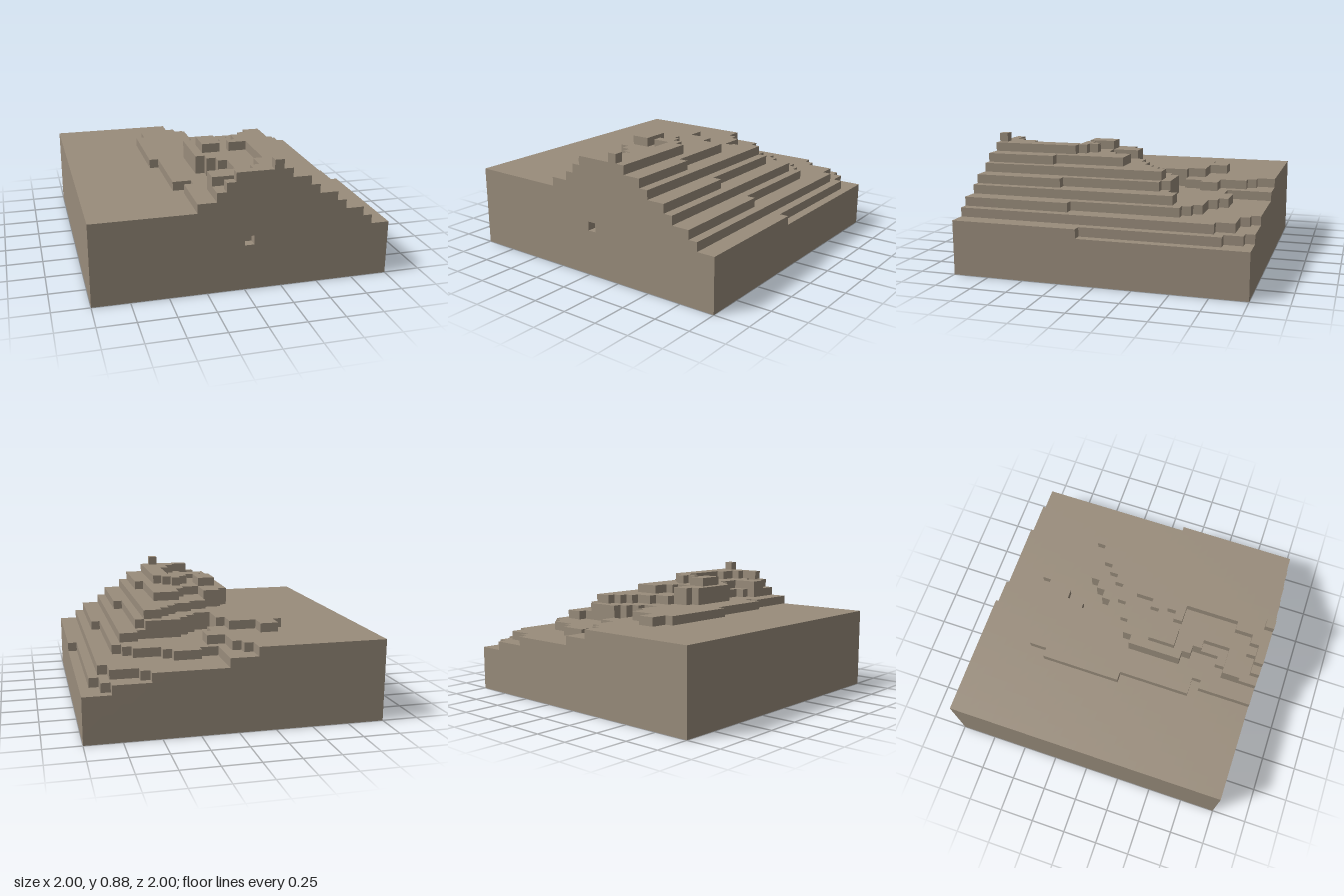
import * as THREE from 'three';

const N = 32, CELL = 2 / N, FLOOR = 5;
const within = (v, a, b) => v >= a && v < b;

// Edges are stepped lines: pairs of (z where the step starts, x of the edge), in cells
const edgeAt = (steps, z) => {
  let x = 0;
  for (let i = 0; i < steps.length && steps[i] <= z; i += 2) x = steps[i + 1];
  return x;
};
const cliff = [16, 14, 17, 13, 23, 14, 24, 15]; // west face shared by two terraces

// One-block-high terraces from low to high; extra adds shelves and knolls
const terraces = [
  { name: 'cornerTerrace', east: [0, 29, 1, 30, 3, 31, 18, 32] },
  { name: 'footTerrace', east: [0, 25, 1, 26, 2, 29, 4, 30] },
  {
    name: 'lowTerrace', east: [0, 17, 5, 23, 6, 26, 7, 27, 8, 28, 20, 29],
    extra: (x, z) => z === 4 && within(x, 19, 22),
  },
  {
    name: 'plain', east: [0, 14, 2, 15, 3, 16, 6, 18, 8, 17, 10, 16, 13, 27],
    extra: (x, z) => within(z, 9, 13) && within(x, z === 9 ? 25 : 30 - z, 27),
  },
  {
    name: 'hillFoot', east: [6, 12, 8, 15, 10, 16, 13, 25, 22, 26], west: [6, 10, 8, 9, 17, 10, 25, 12, 26, 11],
    extra: (x, z) => within(z, 10, 13) && within(x, 30 - z, Math.min(25, z + 14)),
  },
  {
    name: 'hillSide', east: [14, 24], west: [14, 18, 15, 16, ...cliff, 27, 14, 28, 13],
    extra: (x, z) => within(z, 11, 14) && within(x, 33 - z, 24),
  },
  {
    name: 'hillShoulder', east: [16, 16, 19, 22, 24, 23], west: [...cliff, 25, 16, 28, 13, 30, 16, 31, 14],
    extra: (x, z) => within(z, 16, 19) && within(x, z === 18 ? 18 : 19, 22),
  },
  {
    name: 'ridge', east: [20, 19, 21, 20, 22, 21], west: [20, 18, 21, 17, 22, 19, 28, 18, 30, 17, 31, 15],
    extra: (x, z) => within(z, 19, 22) && within(x, 14, 16),
  },
  { name: 'peak', east: [31, 20], west: [31, 19] },
];

function solid(x, y, z) {
  if (!within(x, 0, N) || !within(z, 0, N) || !within(y, 0, FLOOR + terraces.length)) return false;
  if (x === 16 && y === FLOOR && z === N - 1) return false; // small notch in the front wall
  if (y < FLOOR) return true;
  const { east, west = [], extra } = terraces[y - FLOOR];
  return within(x, edgeAt(west, z), edgeAt(east, z)) || Boolean(extra?.(x, z));
}

// Emits only the exposed block faces between two heights
function blocks(y0, y1) {
  const pos = [], nor = [];
  for (let y = y0; y < y1; y++) for (let z = 0; z < N; z++) for (let x = 0; x < N; x++) {
    if (!solid(x, y, z)) continue;
    for (let axis = 0; axis < 3; axis++) for (const s of [-1, 1]) {
      const n = [0, 0, 0];
      n[axis] = s;
      if (solid(x + n[0], y + n[1], z + n[2])) continue;
      const ring = [[0, 0], [1, 0], [1, 1], [0, 1]];
      if (s < 0) ring.reverse();
      const corners = ring.map(([a, b]) => {
        const p = [x, y, z];
        p[axis] += s > 0 ? 1 : 0;
        p[(axis + 1) % 3] += a;
        p[(axis + 2) % 3] += b;
        return [p[0] * CELL - 1, p[1] * CELL, p[2] * CELL - 1];
      });
      for (const i of [0, 1, 2, 0, 2, 3]) {
        pos.push(...corners[i]);
        nor.push(...n);
      }
    }
  }
  const g = new THREE.BufferGeometry();
  g.setAttribute('position', new THREE.Float32BufferAttribute(pos, 3));
  g.setAttribute('normal', new THREE.Float32BufferAttribute(nor, 3));
  return g;
}

export function createModel() {
  const group = new THREE.Group();
  group.name = 'blockTerrain';
  const stone = new THREE.MeshStandardMaterial({ color: 0x998c7b });
  stone.name = 'stone';
  const add = (name, y0, y1) => {
    const mesh = new THREE.Mesh(blocks(y0, y1), stone);
    mesh.name = name;
    group.add(mesh);
  };
  add('groundSlab', 0, FLOOR);
  terraces.forEach(({ name }, i) => add(name, FLOOR + i, FLOOR + i + 1));
  return group;
}
